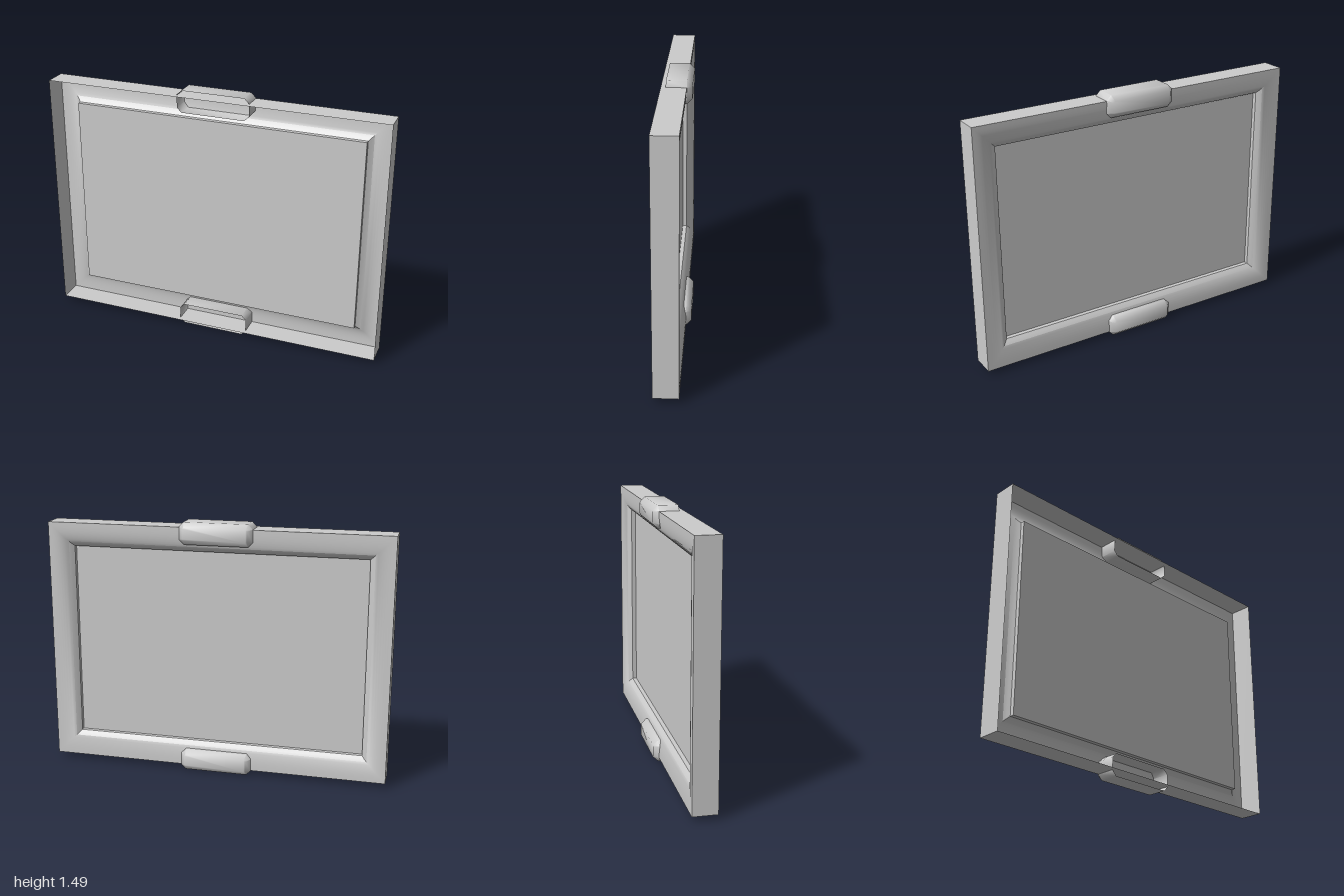
import * as THREE from 'three';
import { toCreasedNormals } from 'three/addons/utils/BufferGeometryUtils.js';

const MID_Y = 0.745;

// Skin a series of closed rings (each a list of [x, y, z]); optionally close the last one.
function loft(rings, crease, capEnd = false) {
  const n = rings[0].length;
  const pos = rings.flat(2);
  const index = [];
  for (let r = 0; r < rings.length - 1; r++) {
    for (let i = 0; i < n; i++) {
      const a = r * n + i, b = r * n + (i + 1) % n;
      index.push(a, a + n, b, b, a + n, b + n);
    }
  }
  if (capEnd) {
    const s = (rings.length - 1) * n;
    for (let i = 1; i < n - 1; i++) index.push(s, s + i + 1, s + i);
  }
  const g = new THREE.BufferGeometry();
  g.setAttribute('position', new THREE.Float32BufferAttribute(pos, 3));
  g.setIndex(index);
  return toCreasedNormals(g, crease);
}

const rect = (w, h, z) => [[-w, -h, z], [w, -h, z], [w, h, z], [-w, h, z]];

// Rectangle with cut corners
const cutRect = (w, h, c, z) => [
  [-w + c, -h, z], [w - c, -h, z], [w, -h + c, z], [w, h - c, z],
  [w - c, h, z], [-w + c, h, z], [-w, h - c, z], [-w, -h + c, z],
];

export function createModel() {
  const model = new THREE.Group();
  const grey = new THREE.MeshStandardMaterial({ color: 0xcccccc, side: THREE.DoubleSide });
  grey.name = 'lightGrey';

  const add = (name, geometry, y, z = 0) => {
    const mesh = new THREE.Mesh(geometry, grey);
    mesh.name = name;
    mesh.position.set(0, y, z);
    model.add(mesh);
    return mesh;
  };

  // Frame shell: outer wall, rounded moulding at the back, short step to the panel
  const W = 1, H = 0.715, border = 0.142;
  const rings = [rect(W, H, 0.085)];
  const steps = 10;
  for (let i = 0; i <= steps; i++) {
    const t = i / steps;
    rings.push(rect(W - border * t, H - border * t, -0.055 + 0.045 * t ** 3));
  }
  rings.push(rect(W - border, H - border, 0.015));
  add('frame', loft(rings, 0.7), MID_Y);

  // Flat panel inside the frame
  add('panel', new THREE.PlaneGeometry(2 * (W - border), 2 * (H - border)), MID_Y, 0.015);

  // Clips: open-fronted cups with bevelled backs, over the top and bottom rails
  const clip = loft([
    cutRect(0.212, 0.064, 0.027, 0.058),
    cutRect(0.212, 0.064, 0.027, -0.055),
    cutRect(0.185, 0.037, 0.008, -0.085),
  ], 0.9, true);
  add('topClip', clip, 2 * MID_Y - 0.064);
  add('bottomClip', clip, 0.064);

  return model;
}
